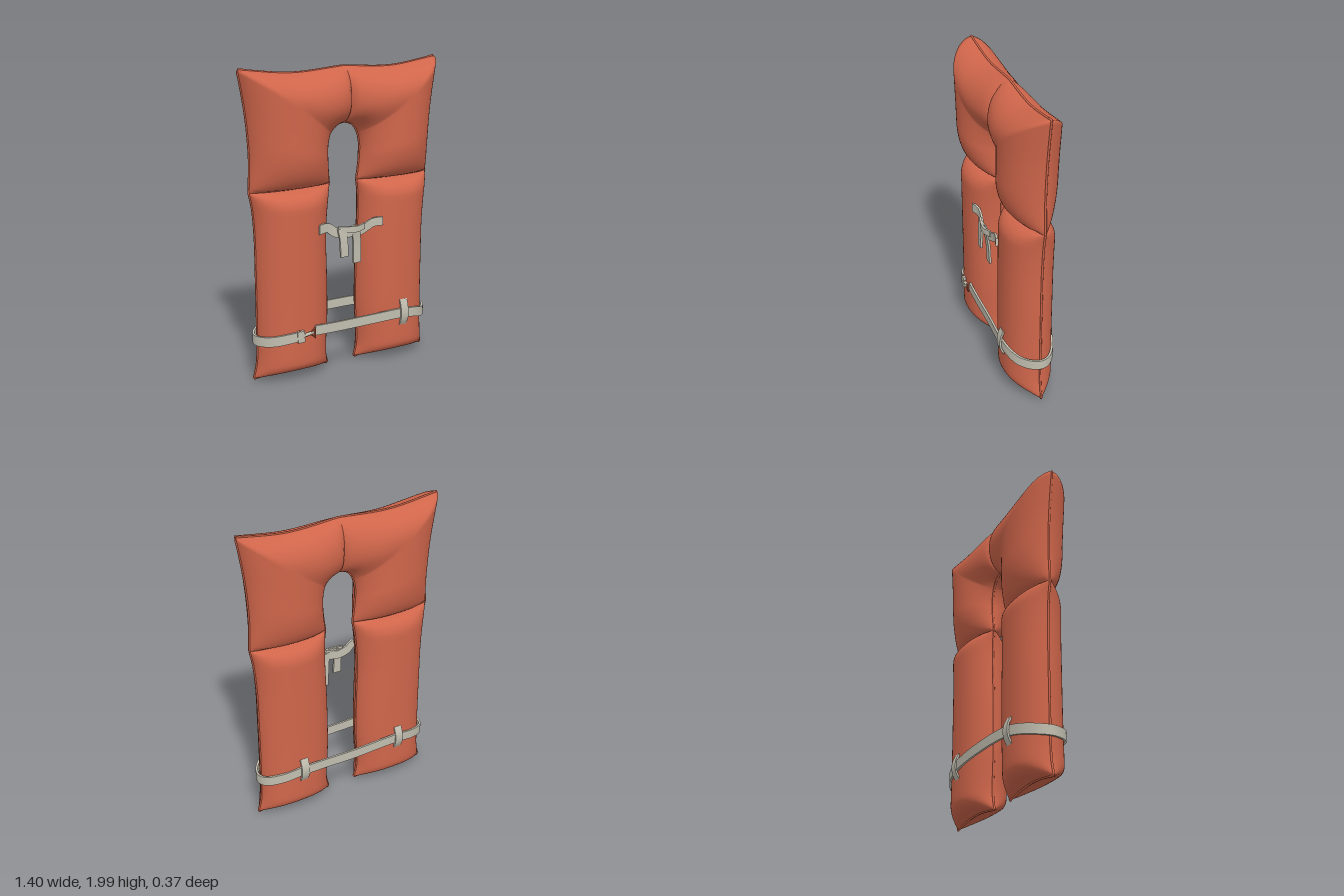
import * as THREE from 'three';
import { toCreasedNormals } from 'three/addons/utils/BufferGeometryUtils.js';

const V = (x, y, z = 0) => new THREE.Vector3(x, y, z);
const SEAM_Z = -0.02;

const orange = new THREE.MeshStandardMaterial({ color: 0xd0664b });
orange.name = 'orange fabric';
const webbing = new THREE.MeshStandardMaterial({ color: 0xc2beb0 });
webbing.name = 'pale webbing';

function add(group, name, geometry, material) {
  const mesh = new THREE.Mesh(geometry, material);
  mesh.name = name;
  group.add(mesh);
  return mesh;
}

// Edge made of smooth runs that meet at sharp corners; v is uniform per control point
function edge(...runs) {
  const curves = runs.map(r => new THREE.CatmullRomCurve3(r.map(p => V(p[0], p[1]))));
  const total = runs.reduce((n, r) => n + r.length - 1, 0);
  return v => {
    let k = v * total;
    for (let i = 0; i < runs.length; i++) {
      const n = runs[i].length - 1;
      if (k <= n + 1e-9 || i === runs.length - 1) return curves[i].getPoint(Math.min(1, k / n));
      k -= n;
    }
  };
}

// Rounded rise from height e to 1 over the distance w
const rise = (d, e, w) => (d >= w ? 1 : e + (1 - e) * Math.sqrt(1 - (1 - d / w) ** 2));

// Stuffed pad: two bulging sheets stretched between an inner and an outer edge
function pad(group, name, side, o) {
  const nu = 28, nv = 60;
  const at = (u, v) => {
    const p = o.inner(v).lerp(o.outer(v), u);
    p.y += o.sag * Math.sin(Math.PI * u) * (1 - v) ** 8;
    const k = THREE.MathUtils.smoothstep(p.y, 0.8, 1.35);
    p.x = side * p.x + 0.022 * k * (1 - p.x / 0.7);
    p.z = SEAM_Z;
    return p;
  };
  const thick = (u, v) => Math.max(0, 1 - Math.abs(2 * u - 1) ** o.power) ** 0.6
    * rise(v, o.e0, o.w0) * rise(1 - v, o.e1, o.w1);
  for (const face of [1, -1]) {
    const pos = [], idx = [];
    for (let j = 0; j <= nv; j++) {
      for (let i = 0; i <= nu; i++) {
        const u = (1 - Math.cos(Math.PI * i / nu)) / 2, v = j / nv;
        const p = at(u, v);
        pos.push(p.x, p.y, p.z + thick(u, v) * (face > 0 ? o.front : -o.back));
        if (i === nu || j === nv) continue;
        const a = j * (nu + 1) + i, b = a + 1, c = a + nu + 1, d = c + 1;
        if (face * side > 0) idx.push(a, b, d, a, d, c);
        else idx.push(a, d, b, a, c, d);
      }
    }
    const g = new THREE.BufferGeometry();
    g.setAttribute('position', new THREE.Float32BufferAttribute(pos, 3));
    g.setIndex(idx);
    g.computeVertexNormals();
    add(group, name + (face > 0 ? 'Front' : 'Back'), g, orange);
  }
  // Sewn piping along the free edges
  const n = 30, inner = [], outer = [], hem = [];
  for (let i = 0; i <= n; i++) {
    inner.push(at(0, 1 - i / n));
    outer.push(at(1, i / n));
    if (i > 0 && i < n) hem.push(at(i / n, 0));
  }
  const runs = o.hem ? [[...inner, ...hem, ...outer]] : [inner, outer];
  for (const r of runs) {
    const path = new THREE.CatmullRomCurve3(r);
    add(group, name + 'Piping', new THREE.TubeGeometry(path, r.length * 2, 0.007, 6), orange);
  }
}

// Flat strap swept along points, its width lying close to the given direction
function strap(group, name, points, width, across, thickness = 0.014, segments = 12) {
  const curve = new THREE.CatmullRomCurve3(points.map(p => V(...p)));
  const pos = [], idx = [];
  for (let i = 0; i <= segments; i++) {
    const p = curve.getPoint(i / segments), t = curve.getTangent(i / segments);
    const n = t.clone().cross(across).normalize();
    const w = n.clone().cross(t).normalize();
    for (const [a, b] of [[-1, -1], [1, -1], [1, 1], [-1, 1]]) {
      const q = p.clone().addScaledVector(w, a * width / 2).addScaledVector(n, b * thickness / 2);
      pos.push(q.x, q.y, q.z);
    }
    if (i === segments) continue;
    for (let k = 0; k < 4; k++) {
      const a = i * 4 + k, b = i * 4 + (k + 1) % 4;
      idx.push(a, b + 4, b, a, a + 4, b + 4);
    }
  }
  const e = segments * 4;
  idx.push(0, 1, 2, 0, 2, 3, e, e + 2, e + 1, e, e + 3, e + 2);
  // Corner order follows the frame (w, n, t); flip so that faces point outward
  for (let i = 0; i < idx.length; i += 3) [idx[i + 1], idx[i + 2]] = [idx[i + 2], idx[i + 1]];
  const g = new THREE.BufferGeometry();
  g.setAttribute('position', new THREE.Float32BufferAttribute(pos, 3));
  g.setIndex(idx);
  return add(group, name, toCreasedNormals(g, 0.7), webbing);
}

export function createModel() {
  const model = new THREE.Group();
  model.name = 'lifeVest';
  const up = V(0, 1, 0), right = V(1, 0, 0);

  // Collar halves and chest pads, mirrored
  const collar = {
    inner: edge([[0.1, 1.24], [0.117, 1.38], [0.119, 1.47], [0.1, 1.55], [0.062, 1.6], [0, 1.62]]),
    outer: edge([[0.64, 1.24], [0.632, 1.45], [0.648, 1.7], [0.692, 1.99]],
      [[0.692, 1.99], [0.35, 1.95], [0, 1.97]]),
    front: 0.2, back: 0.145, power: 2.1, e0: 0.28, w0: 0.3, e1: 0.52, w1: 0.35, sag: 0,
  };
  const chest = {
    inner: edge([[0.1, 0.015], [0.122, 0.12], [0.112, 0.4], [0.115, 0.7], [0.122, 0.95], [0.115, 1.14], [0.1, 1.24]]),
    outer: edge([[0.635, 0.015], [0.61, 0.12], [0.603, 0.4], [0.603, 0.7], [0.605, 0.95], [0.62, 1.14], [0.64, 1.24]]),
    front: 0.175, back: 0.137, power: 2.4, e0: 0, w0: 0.2, e1: 0.28, w1: 0.2, sag: 0.032, hem: true,
  };
  for (const side of [1, -1]) {
    const s = side > 0 ? 'left' : 'right';
    pad(model, s + 'Collar', side, collar);
    pad(model, s + 'ChestPad', side, chest);
  }

  // Waist belt, from the buckle round the back to the other buckle end
  const wrap = [[0.55, 0.297, 0.105], [0.605, 0.287, 0.04], [0.622, 0.285, -0.02],
    [0.598, 0.29, -0.08], [0.5, 0.315, -0.14], [0.36, 0.342, -0.166], [0.2, 0.35, -0.178]];
  const mirrored = wrap.map(([x, y, z]) => [-x, y, z]).reverse();
  strap(model, 'waistBelt', [
    [-0.28, 0.338, 0.153], [-0.1, 0.335, 0.155], [0.12, 0.335, 0.155], [0.37, 0.337, 0.161], [0.47, 0.322, 0.147],
    ...wrap, [0, 0.35, -0.184], ...mirrored, [-0.47, 0.313, 0.147], [-0.39, 0.322, 0.16],
  ], 0.064, up, 0.014, 120);

  // Belt keepers
  strap(model, 'frontKeeper', [[0.378, 0.43, 0.152], [0.378, 0.385, 0.168], [0.378, 0.335, 0.175],
    [0.378, 0.29, 0.168], [0.378, 0.25, 0.146]], 0.055, right, 0.012);
  for (const x of [0.36, -0.36]) {
    strap(model, 'backKeeper', [[x, 0.425, -0.155], [x, 0.385, -0.173], [x, 0.342, -0.179],
      [x, 0.3, -0.172], [x, 0.262, -0.152]], 0.055, right, 0.012);
  }

  // Buckle: folded loop, hook and ring
  strap(model, 'buckleFold', [[-0.41, 0.32, 0.163], [-0.385, 0.321, 0.168], [-0.365, 0.322, 0.164]], 0.075, up, 0.02, 4);
  const hook = add(model, 'buckleHook', new THREE.CylinderGeometry(0.011, 0.011, 0.075, 8), webbing);
  hook.rotation.z = Math.PI / 2 + 0.15;
  hook.position.set(-0.335, 0.328, 0.164);
  for (const x of [-0.385, -0.3]) {
    const ring = add(model, 'buckleRing', new THREE.TorusGeometry(0.036, 0.007, 6, 3), orange);
    ring.rotation.z = x < -0.35 ? 0 : Math.PI;
    ring.scale.x = 0.7;
    ring.position.set(x, 0.33, 0.166);
  }

  // Chest tie with a crossed knot and two hanging tails
  strap(model, 'tieRight', [[-0.238, 0.988, 0.136], [-0.17, 0.99, 0.12], [-0.12, 0.955, 0.118],
    [-0.05, 0.935, 0.128], [0.03, 0.96, 0.135]], 0.06, up);
  strap(model, 'tieLeft', [[0.225, 0.983, 0.134], [0.16, 0.978, 0.118], [0.1, 0.95, 0.118],
    [0.04, 0.935, 0.128], [-0.06, 0.958, 0.138]], 0.056, up);
  strap(model, 'knot', [[-0.1, 0.968, 0.128], [-0.04, 0.965, 0.146], [0.03, 0.962, 0.148], [0.09, 0.968, 0.128]], 0.04, up);
  strap(model, 'rightTail', [[-0.08, 0.975, 0.135], [-0.068, 0.9, 0.142], [-0.065, 0.79, 0.146]], 0.055, right);
  strap(model, 'leftTail', [[0.02, 0.965, 0.14], [0.036, 0.87, 0.128], [0.042, 0.73, 0.122]], 0.055, right);

  return model;
}
